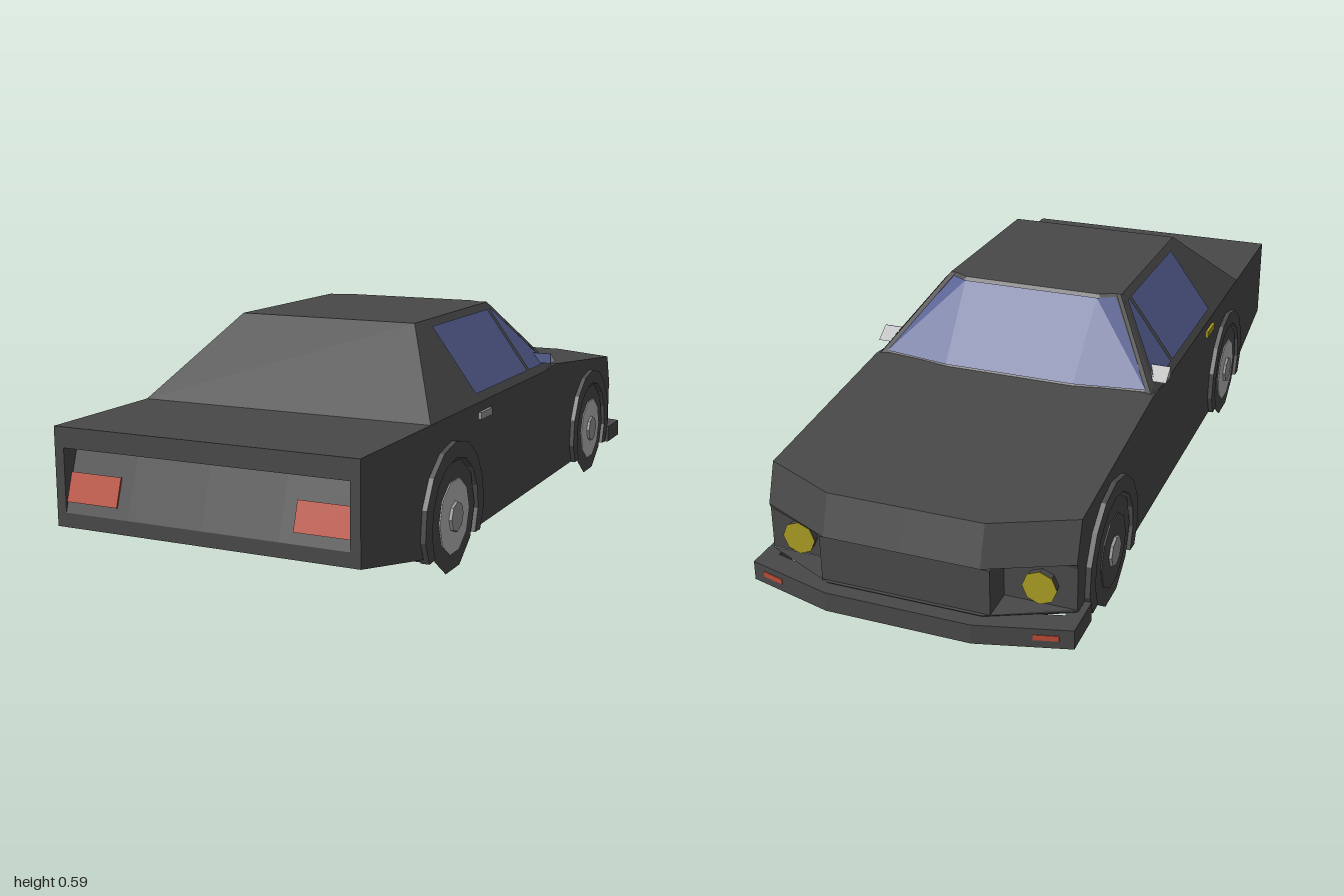
import * as THREE from 'three';
import { ConvexGeometry } from 'three/addons/geometries/ConvexGeometry.js';

const mat = (name, color, side = THREE.FrontSide) => {
  const m = new THREE.MeshStandardMaterial({ color, side });
  m.name = name;
  return m;
};
const V = (x, y, z) => new THREE.Vector3(x, y, z);

export function createModel() {
  const paint = mat('charcoal paint', 0x484848);
  const glass = mat('blue glass', 0x525c8e, THREE.DoubleSide);
  const red = mat('red lamp', 0xbb4b36);
  const yellow = mat('yellow lamp', 0xa89a24);
  const rimGrey = mat('light grey rim', 0xb8b8b8);
  const hubGrey = mat('mid grey metal', 0x949494);

  const car = new THREE.Group();
  car.name = 'car';

  const add = (name, geometry, material) => {
    const flat = geometry.index ? geometry.toNonIndexed() : geometry;
    flat.computeVertexNormals();
    const mesh = new THREE.Mesh(flat, material);
    mesh.name = name;
    car.add(mesh);
    return mesh;
  };
  const box = (name, size, pos, material, rot = [0, 0, 0]) => {
    const m = add(name, new THREE.BoxGeometry(...size), material);
    m.position.set(...pos);
    m.rotation.set(...rot);
    return m;
  };
  // Side profile given as (z, y), extruded across x from x0 to x1
  const sideExtrude = (points, x0, x1, steps = 1) => {
    const shape = new THREE.Shape(points.map(p => new THREE.Vector2(...p)));
    const g = new THREE.ExtrudeGeometry(shape, { depth: x1 - x0, steps, bevelEnabled: false });
    return g.rotateY(-Math.PI / 2).translate(x1, 0, 0);
  };
  // The same, between two distances from the centre line on side s
  const flankExtrude = (points, s, a, b) => sideExtrude(points, s > 0 ? a : -b, s > 0 ? b : -a);
  // Convex flat panel as a triangle fan
  const panel = (name, pts, material) => {
    const tris = [];
    for (let i = 1; i < pts.length - 1; i++) tris.push(pts[0], pts[i], pts[i + 1]);
    return add(name, new THREE.BufferGeometry().setFromPoints(tris), material);
  };
  // Wheel-arch arc, running from the rear foot over the top to the front foot
  const arc = (cz, r, n = 10) => Array.from({ length: n + 1 }, (_, i) => {
    const a = -0.52 + (Math.PI + 1.04) * i / n;
    return [cz + r * Math.cos(a), Math.max(0.06, 0.135 + r * Math.sin(a))];
  });

  const W = 0.395;
  const REAR = 0.5, FRONT = -0.635;

  // Lower body: tail wedge recess, wheel arches and lamp channel in one profile
  const body = sideExtrude([
    [1, 0.385], [1, 0.335], [0.95, 0.329], [1, 0.18], [1, 0.145], [0.66, 0.07], [0.655, 0.06],
    ...arc(REAR, 0.148), ...arc(FRONT, 0.148),
    [-0.82, 0.06], [-0.955, 0.1], [-0.965, 0.11], [-0.871, 0.112], [-0.871, 0.222],
    [-0.968, 0.235], [-0.935, 0.335], [-0.29, 0.393], [-0.2, 0.385],
  ], -W, W, 4);
  // Sweep the nose back towards the fenders
  const pos = body.attributes.position;
  for (let i = 0; i < pos.count; i++) {
    const x = pos.getX(i), z = pos.getZ(i);
    if (z < -0.9) pos.setZ(i, z + 0.092 * Math.max(0, (Math.abs(x) - 0.1975) / 0.1975));
  }
  add('lowerBody', body, paint);

  // Grille between the lamp pockets
  box('grille', [0.43, 0.12, 0.09], [0, 0.167, -0.911], paint);

  // Cabin
  const base = [[W, 0.63], [W, -0.275], [0.18, -0.31]];
  const top = [[0.247, 0.39], [0.247, -0.1], [0.19, -0.13]];
  const hull = [];
  for (const s of [1, -1]) {
    base.forEach(([x, z]) => hull.push(V(s * x, 0.384, z)));
    top.forEach(([x, z]) => hull.push(V(s * x, 0.586, z)));
  }
  add('cabin', new ConvexGeometry(hull), paint);

  // Windscreen centre
  const slope = (x, t) => V(x, 0.384 + 0.202 * t + 0.004, -0.31 + 0.18 * t - 0.004);
  panel('windscreenCentre', [slope(-0.181, 0.05), slope(0.181, 0.05),
    slope(0.189, 0.95), slope(-0.189, 0.95)], glass);

  for (const s of [1, -1]) {
    const side = s > 0 ? 'left' : 'right';

    // Windscreen corner and the pillar outside it
    panel(side + 'WindscreenCorner', [slope(s * 0.189, 0.95), slope(s * 0.181, 0.05),
      V(s * 0.368, 0.398, -0.275), V(s * 0.234, 0.58, -0.119)], glass);
    add(side + 'Pillar', new ConvexGeometry([
      V(s * 0.395, 0.386, -0.265), V(s * 0.39, 0.386, -0.288), V(s * 0.37, 0.386, -0.28),
      V(s * 0.247, 0.586, -0.095), V(s * 0.246, 0.586, -0.114), V(s * 0.232, 0.586, -0.108),
    ]), paint);

    // Door and quarter glass on the sloping cabin side
    const sidePoint = (z, y) => V(s * (W + 0.004 - (y - 0.384) * 0.733), y, z);
    panel(side + 'DoorWindow', [sidePoint(0.315, 0.405), sidePoint(-0.075, 0.405),
      sidePoint(-0.075, 0.57), sidePoint(0.315, 0.57)], glass);
    panel(side + 'QuarterWindow', [sidePoint(-0.09, 0.405), sidePoint(-0.238, 0.405),
      sidePoint(-0.102, 0.57), sidePoint(-0.09, 0.57)], glass);

    // Wedge mirror with glass facing the tail
    const wedge = [[-0.198, 0.437], [-0.198, 0.409], [-0.24, 0.409]];
    add(side + 'MirrorHousing', flankExtrude(wedge, s, 0.355, 0.412), rimGrey);
    box(side + 'MirrorGlass', [0.057, 0.028, 0.004], [s * 0.3835, 0.423, -0.196], glass);

    // Door handle
    box(side + 'DoorHandle', [0.012, 0.018, 0.078], [s * 0.397, 0.351, 0.284],
      s > 0 ? hubGrey : yellow);

    // Tail: end posts of the recess and lamps on its sloping face
    add(side + 'TailPost', flankExtrude([[1, 0.335], [0.95, 0.329], [1, 0.18]], s, 0.37, W), paint);
    box(side + 'TailLamp', [0.139, 0.071, 0.008], [s * 0.3, 0.238, 0.981], red, [-0.312, 0, 0]);

    // Headlamp: socket and thin forward-facing lens
    const disc = (r, depth) => new THREE.CylinderGeometry(r, r, depth, 8).rotateX(Math.PI / 2);
    add(side + 'LampSocket', disc(0.04, 0.02), paint).position.set(s * 0.31, 0.165, -0.88);
    add(side + 'Headlamp', disc(0.043, 0.003), yellow).position.set(s * 0.31, 0.165, -0.891);

    // Bumper marker
    box(side + 'BumperMarker', [0.06, 0.014, 0.004], [s * 0.35, 0.082, -0.956], red, [0, -s * 0.259, 0]);

    // Flares and wheels
    for (const [end, cz] of [['Rear', REAR], ['Front', FRONT]]) {
      const ring = [...arc(cz, 0.188), ...arc(cz, 0.147).reverse()];
      add(side + end + 'Flare', flankExtrude(ring, s, 0.385, 0.408), paint);

      const place = (name, geometry, material) => {
        const m = add(side + end + name, geometry.rotateZ(-Math.PI / 2), material);
        m.position.set(0, 0.135, cz);
        if (s < 0) m.rotation.y = Math.PI;
      };
      const profile = [[0, 0.287], [0.095, 0.287], [0.095, 0.388], [0.142, 0.4], [0.094, 0.402], [0, 0.402]];
      place('Tyre', new THREE.LatheGeometry(profile.map(p => new THREE.Vector2(...p)), 10), paint);
      const darkRim = s < 0 && end === 'Front';
      place('Rim', new THREE.CylinderGeometry(0.095, 0.095, 0.02, 10).translate(0, 0.395, 0),
        darkRim ? paint : rimGrey);
      place('Hub', new THREE.CylinderGeometry(0.038, 0.042, 0.02, 8).translate(0, 0.402, 0), hubGrey);
    }
  }

  // Axles
  for (const [name, z] of [['rearAxle', REAR], ['frontAxle', FRONT]]) {
    const axle = new THREE.CylinderGeometry(0.024, 0.024, 0.6, 8).rotateZ(Math.PI / 2);
    add(name, axle, hubGrey).position.set(0, 0.12, z);
  }

  // Front bumper: a bar following the nose, from its plan outline
  const half = [[0.412, -0.82], [0.412, -0.94], [0.185, -1]];
  const inner = [[0.17, -0.945], [0.372, -0.89], [0.372, -0.82]];
  const mirror = pts => pts.map(([x, z]) => [-x, z]).reverse();
  const plan = [...half, ...mirror(half), ...mirror(inner), ...inner];
  const bumper = new THREE.ExtrudeGeometry(
    new THREE.Shape(plan.map(p => new THREE.Vector2(...p))), { depth: 0.05, bevelEnabled: false });
  add('frontBumper', bumper.rotateX(Math.PI / 2).translate(0, 0.105, 0), paint);

  return car;
}
